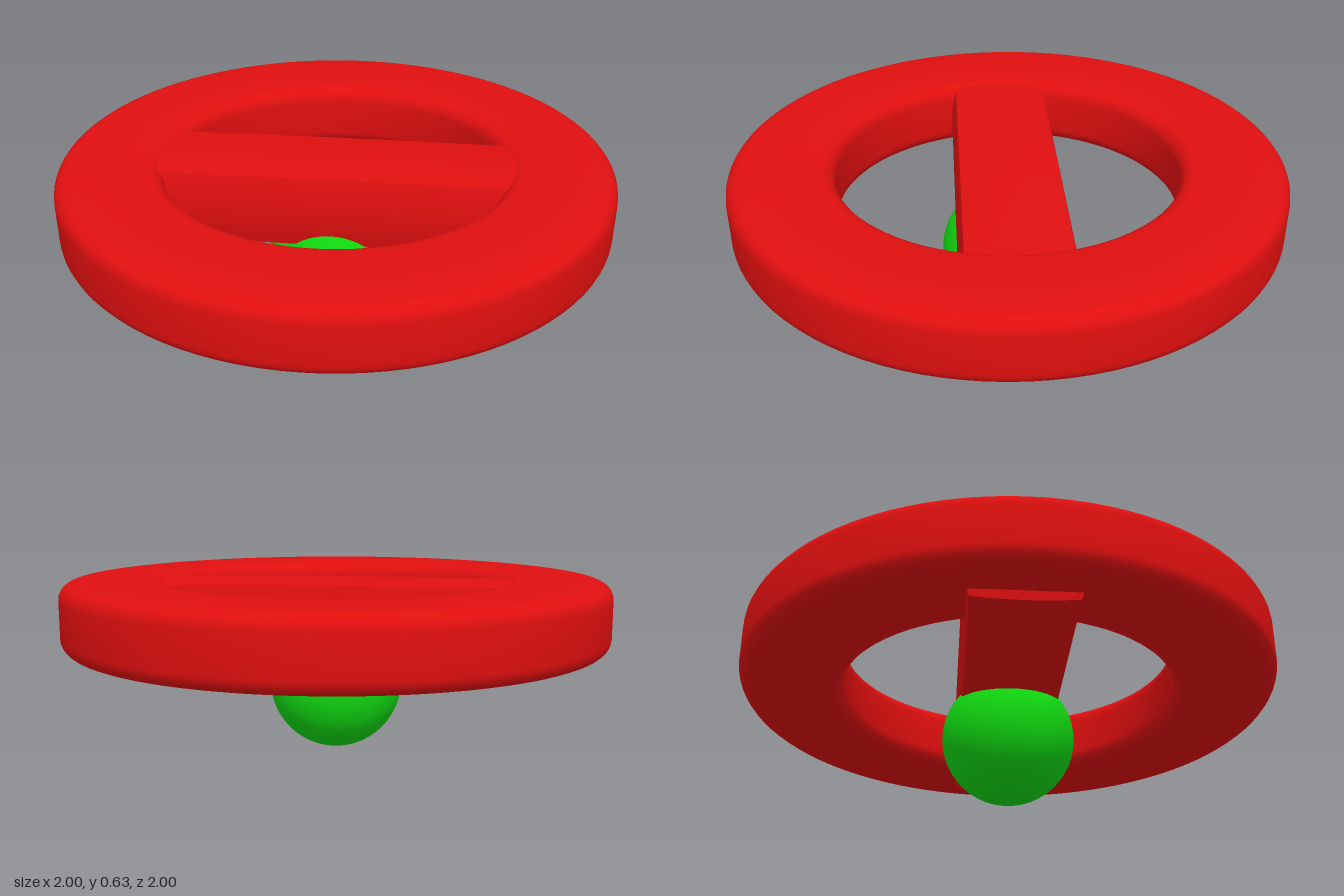
import * as THREE from 'three';
import { toCreasedNormals } from 'three/addons/utils/BufferGeometryUtils.js';

const red = new THREE.MeshStandardMaterial({ color: 0xe00f0f });
red.name = 'signal red';
const green = new THREE.MeshStandardMaterial({ color: 0x10d810 });
green.name = 'bright green';

// Flat ring with rounded edges, revolved around y
function ringGeometry(inner, outer, bottom, top, r) {
  const points = [];
  const corner = (x, y, start) => {
    for (let i = 0; i <= 6; i++) {
      const a = start + (i / 6) * Math.PI / 2;
      points.push(new THREE.Vector2(x + r * Math.cos(a), y + r * Math.sin(a)));
    }
  };
  corner(inner + r, bottom + r, Math.PI);
  corner(outer - r, bottom + r, Math.PI * 1.5);
  corner(outer - r, top - r, 0);
  corner(inner + r, top - r, Math.PI / 2);
  points.push(points[0].clone());
  return toCreasedNormals(new THREE.LatheGeometry(points, 96), 0.6);
}

// Long bar whose faces bulge slightly outward
function barGeometry(length, height, width) {
  const geo = new THREE.BoxGeometry(length, height, width, 12, 6, 8);
  const p = geo.attributes.position;
  for (let i = 0; i < p.count; i++) {
    const u = p.getX(i) / (length / 2);
    const v = p.getY(i) / (height / 2);
    const w = p.getZ(i) / (width / 2);
    p.setXYZ(i,
      p.getX(i) * (1 - 0.01 * v * v),
      p.getY(i) * (1 - 0.06 * w * w - 0.05 * u * u),
      p.getZ(i) * (1 - 0.1 * v * v));
  }
  return toCreasedNormals(geo, 0.6);
}

export function createModel() {
  const model = new THREE.Group();
  const add = (name, geometry, material, y) => {
    const mesh = new THREE.Mesh(geometry, material);
    mesh.name = name;
    mesh.position.y = y;
    model.add(mesh);
    return mesh;
  };

  add('ring', ringGeometry(0.62, 1, 0.39, 0.635, 0.055), red, 0);

  // Diagonal bar across the ring opening
  add('crossBar', barGeometry(1.64, 0.282, 0.39), red, 0.491).rotation.y = Math.PI / 4;

  // Ball under the middle of the bar
  add('ball', new THREE.SphereGeometry(0.245, 48, 32), green, 0.245);

  return model;
}
